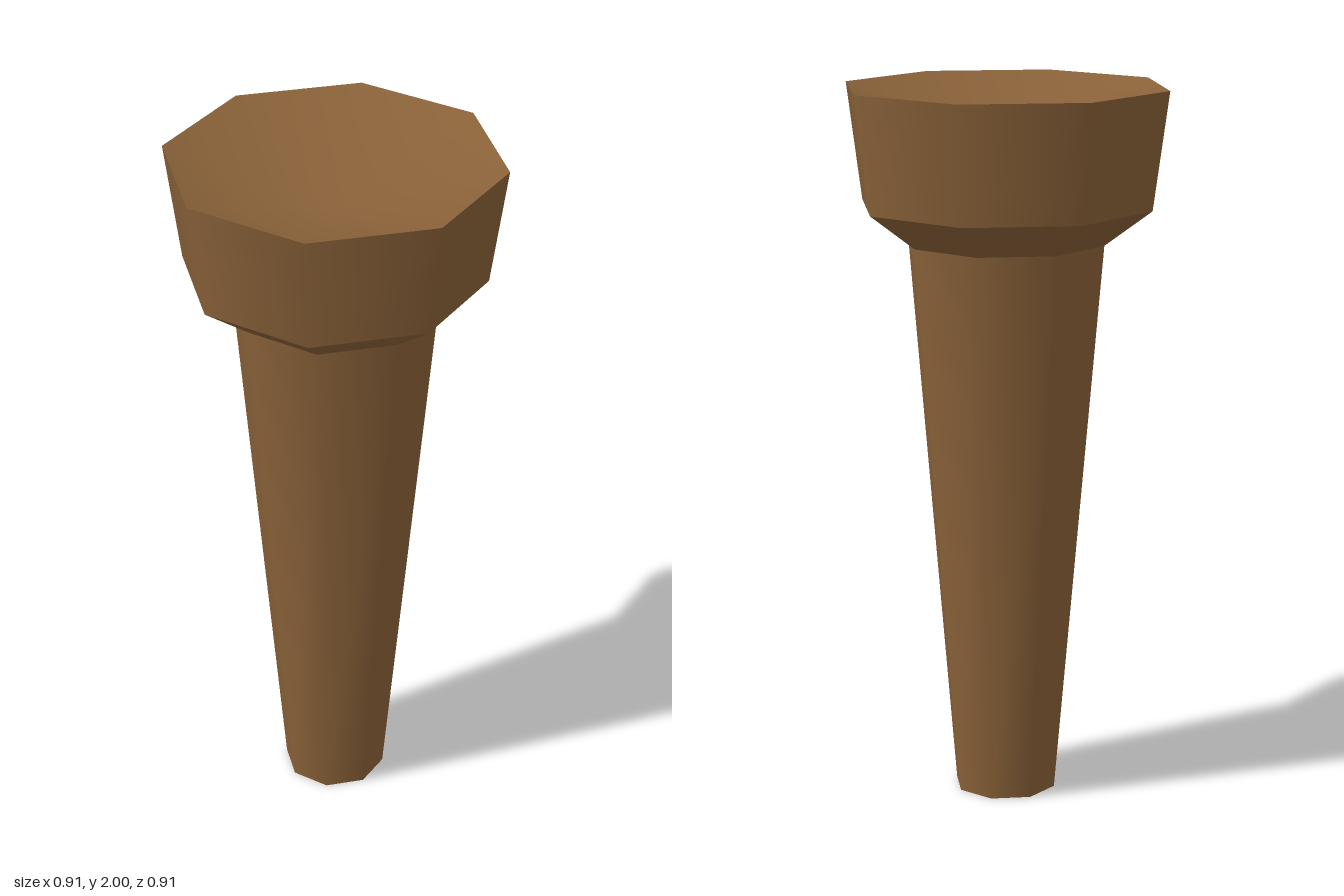
import * as THREE from 'three';
import { mergeVertices } from 'three/addons/utils/BufferGeometryUtils.js';

const SIDES = 8;

export function createModel() {
  const group = new THREE.Group();
  const wood = new THREE.MeshStandardMaterial({ color: 0x8a6239 });
  wood.name = 'brownWood';

  const add = (name, geometry) => {
    const mesh = new THREE.Mesh(geometry, wood);
    mesh.name = name;
    group.add(mesh);
  };

  // Eight-sided tapered walls, smooth around and sharp between sections
  const wall = (name, y0, r0, y1, r1) => {
    const g = new THREE.CylinderGeometry(r1, r0, y1 - y0, SIDES, 1, true);
    add(name, g.translate(0, (y0 + y1) / 2, 0));
  };
  wall('shaft', 0, 0.145, 1.575, 0.28);
  wall('collar', 1.575, 0.28, 1.675, 0.413);
  wall('head', 1.675, 0.413, 2, 0.457);

  // Flat foot
  add('foot', new THREE.CircleGeometry(0.145, SIDES).rotateX(Math.PI / 2));

  // Shallow dished top: a disc with its centre pushed down
  let dish = new THREE.CircleGeometry(0.457, SIDES).rotateX(-Math.PI / 2).translate(0, 2, 0);
  dish.attributes.position.setY(0, 1.85);
  dish.deleteAttribute('uv');
  dish.deleteAttribute('normal');
  dish = mergeVertices(dish);
  dish.computeVertexNormals();
  add('dishedTop', dish);

  return group;
}
